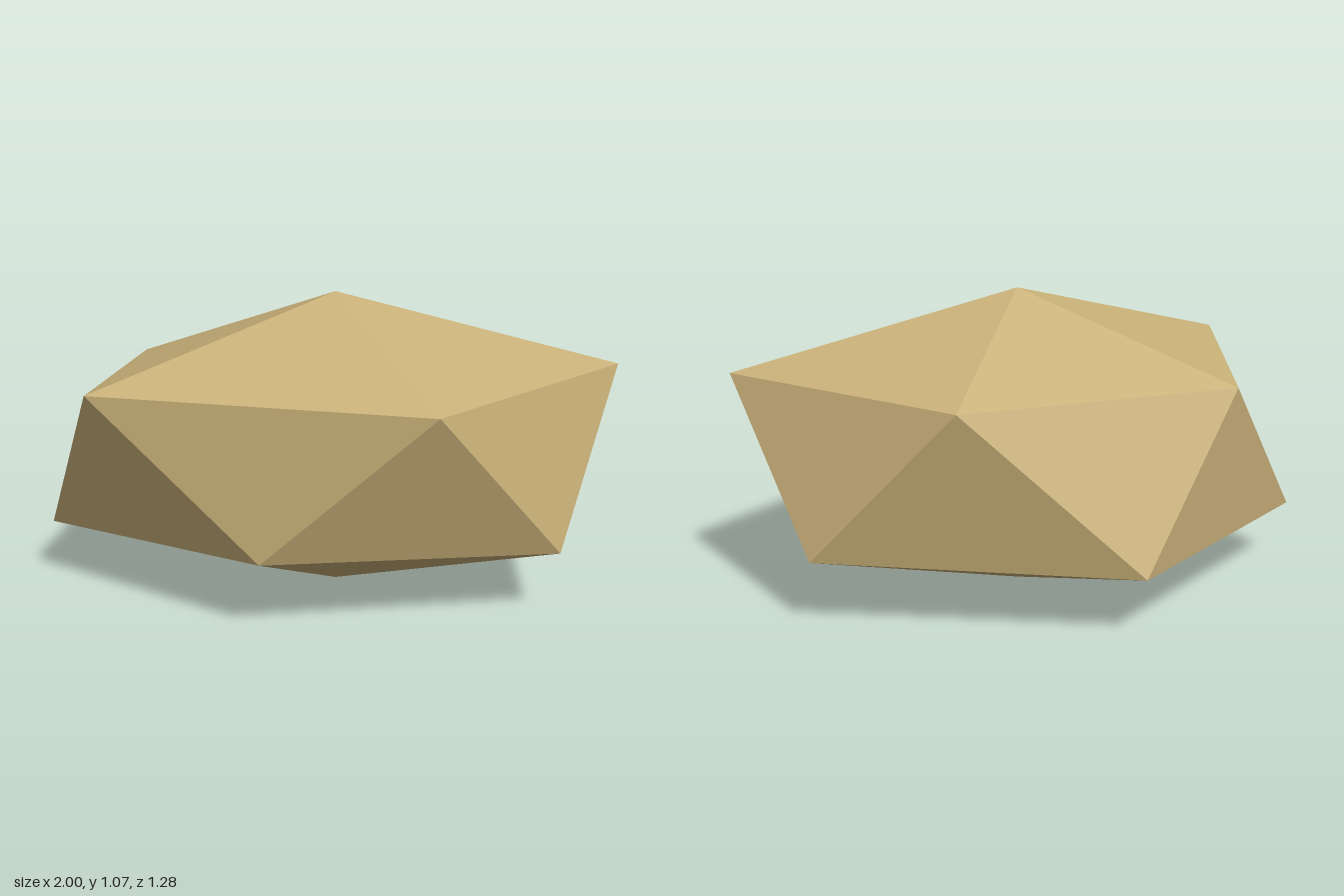
import * as THREE from 'three';

// Irregular rings of the stone, in order around the y axis
const upperRing = [
  [1, 0.81, 0], [0.33, 0.82, 0.64], [-0.8, 0.82, 0.395], [-0.68, 0.77, -0.34], [0.31, 0.8, -0.605],
];
const lowerRing = [
  [0.77, 0.25, 0.365], [-0.24, 0.28, 0.525], [-1, 0.225, 0], [-0.3, 0.225, -0.645], [0.77, 0.25, -0.365],
];
const peak = [0.015, 1.07, 0];
const base = [0.015, 0, 0];

export function createModel() {
  const sandstone = new THREE.MeshStandardMaterial({ color: 0xc8b078, flatShading: true });
  sandstone.name = 'sandstone';

  // Cap, zigzag belt and underside, one fifth at a time
  const positions = [];
  const face = (...corners) => corners.forEach((p) => positions.push(...p));
  for (let i = 0; i < 5; i++) {
    const j = (i + 1) % 5;
    face(peak, upperRing[j], upperRing[i]);
    face(upperRing[i], upperRing[j], lowerRing[i]);
    face(lowerRing[i], upperRing[j], lowerRing[j]);
    face(base, lowerRing[i], lowerRing[j]);
  }

  const geometry = new THREE.BufferGeometry();
  geometry.setAttribute('position', new THREE.Float32BufferAttribute(positions, 3));
  geometry.computeVertexNormals();

  const rock = new THREE.Mesh(geometry, sandstone);
  rock.name = 'rock';
  const group = new THREE.Group();
  group.name = 'facetedRock';
  group.add(rock);
  return group;
}
